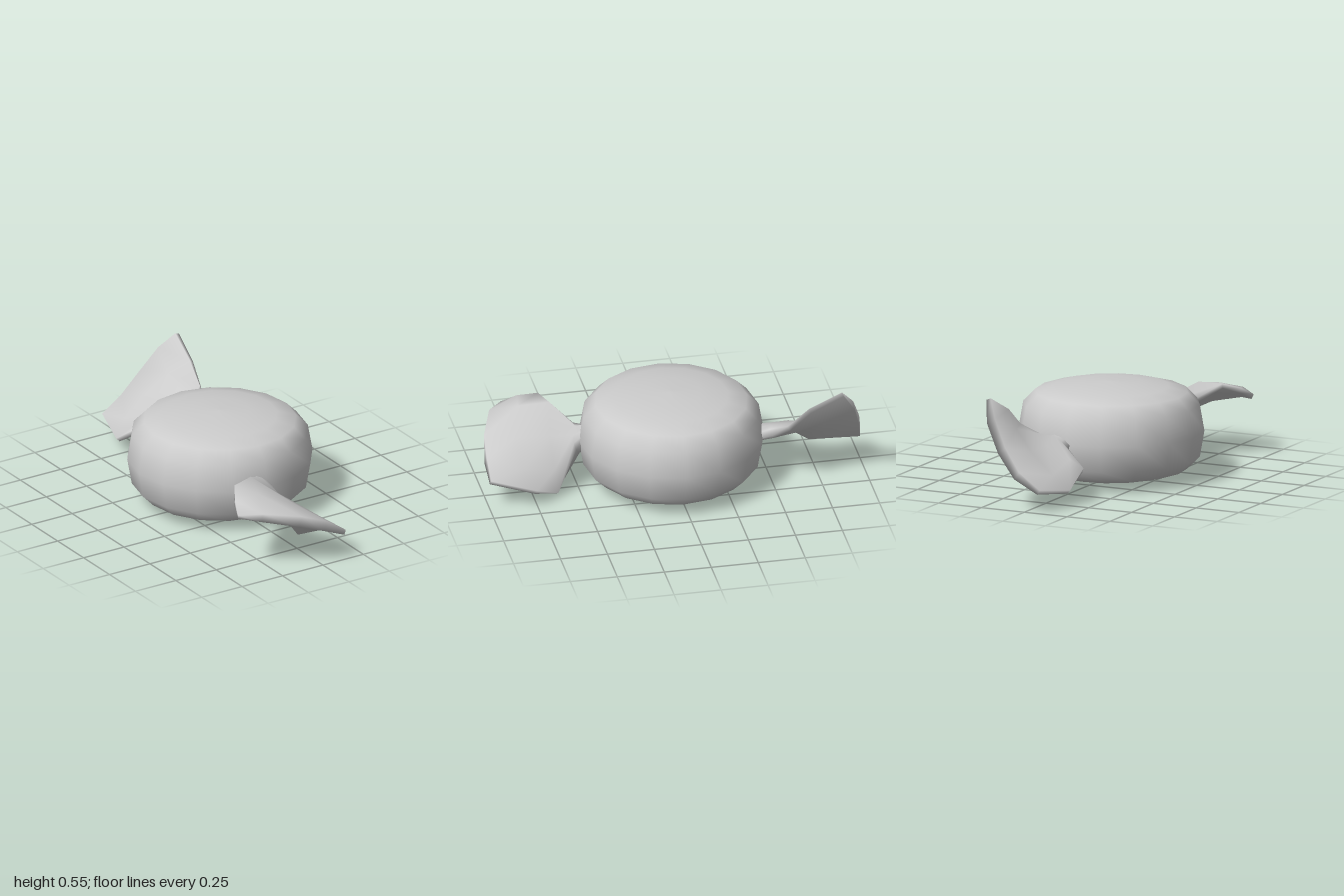
import * as THREE from 'three';

const material = new THREE.MeshStandardMaterial({ color: 0xcccccc, side: THREE.DoubleSide });

// Crumpled wrapper end: rows run from neck to hem, five points across each row;
// the sheet is thickened along its own normal and closed at the hem.
function wrapperEnd(name, rows, thickness) {
  const grid = rows.map(row => row.map(p => new THREE.Vector3(...p)));
  const cols = grid[0].length, ring = cols * 2, last = grid.length - 1;
  const taper = [0.45, 0.9, 1, 0.9, 0.45];
  const positions = [], index = [];
  grid.forEach((row, r) => {
    const offsets = row.map((p, c) => {
      const along = grid[Math.min(r + 1, last)][c].clone().sub(grid[Math.max(r - 1, 0)][c]);
      const across = row[Math.min(c + 1, cols - 1)].clone().sub(row[Math.max(c - 1, 0)]);
      return along.cross(across).normalize().multiplyScalar(thickness[r] * taper[c]);
    });
    for (let c = 0; c < cols; c++) positions.push(...row[c].clone().add(offsets[c]).toArray());
    for (let c = cols - 1; c >= 0; c--) positions.push(...row[c].clone().sub(offsets[c]).toArray());
  });
  const quad = (a, b, c, d) => index.push(a, b, c, a, c, d);
  for (let r = 0; r < last; r++) {
    for (let k = 0; k < ring; k++) {
      const n = (k + 1) % ring, a = r * ring, b = a + ring;
      quad(a + k, b + k, b + n, a + n);
    }
  }
  // Hem
  const h = last * ring;
  for (let c = 0; c < cols - 1; c++) quad(h + c, h + ring - 1 - c, h + ring - 2 - c, h + c + 1);

  const geometry = new THREE.BufferGeometry();
  geometry.setAttribute('position', new THREE.Float32BufferAttribute(positions, 3));
  geometry.setIndex(index);
  geometry.computeVertexNormals();
  const mesh = new THREE.Mesh(geometry, material);
  mesh.name = name;
  return mesh;
}

export function createModel() {
  const group = new THREE.Group();
  group.name = 'wrappedCandy';

  // Rounded disc body, symmetric about its middle height
  const mid = 0.258;
  const upper = [[0.487, 0], [0.463, 0.138], [0.4, 0.202], [0.3, 0.229], [0.16, 0.249], [0, 0.254]];
  const profile = [
    ...upper.slice(1).reverse().map(([x, y]) => new THREE.Vector2(x, mid - y)),
    ...upper.map(([x, y]) => new THREE.Vector2(x, mid + y)),
  ];
  const body = new THREE.Mesh(new THREE.LatheGeometry(profile, 16), material);
  body.name = 'candyBody';
  body.rotation.y = -0.04;
  body.position.z = 0.005;
  group.add(body);

  // Front wrapper end: high on the right, low on the left, flatter at the hem
  group.add(wrapperEnd('frontWrapper', [
    [[-0.12, 0.27, 0.44], [-0.09, 0.27, 0.44], [-0.06, 0.26, 0.44], [-0.03, 0.25, 0.44], [0, 0.25, 0.44]],
    [[-0.12, 0.3, 0.51], [-0.09, 0.29, 0.51], [-0.06, 0.26, 0.52], [-0.03, 0.23, 0.51], [0, 0.21, 0.5]],
    [[-0.32, 0.39, 0.65], [-0.21, 0.385, 0.61], [-0.07, 0.27, 0.64], [0.03, 0.13, 0.64], [0.09, 0.025, 0.63]],
    [[-0.38, 0.355, 0.74], [-0.25, 0.355, 0.76], [-0.07, 0.27, 0.82], [0.08, 0.17, 0.82], [0.175, 0.09, 0.76]],
    [[-0.41, 0.31, 0.82], [-0.31, 0.31, 0.9], [-0.12, 0.27, 0.975], [0.02, 0.22, 0.995], [0.14, 0.155, 0.995]],
  ], [0.06, 0.055, 0.03, 0.03, 0.03]));

  // Back wrapper end: a steeper fan rising to the left
  group.add(wrapperEnd('backWrapper', [
    [[0.01, 0.25, -0.42], [0.04, 0.255, -0.42], [0.075, 0.26, -0.42], [0.11, 0.265, -0.42], [0.14, 0.27, -0.42]],
    [[0, 0.24, -0.51], [0.04, 0.25, -0.51], [0.075, 0.26, -0.51], [0.11, 0.275, -0.51], [0.14, 0.285, -0.5]],
    [[-0.15, 0.17, -0.62], [-0.07, 0.2, -0.63], [0.06, 0.26, -0.65], [0.17, 0.32, -0.61], [0.25, 0.36, -0.57]],
    [[-0.14, 0.08, -0.76], [-0.05, 0.15, -0.8], [0.08, 0.26, -0.8], [0.19, 0.37, -0.76], [0.265, 0.46, -0.68]],
    [[-0.08, 0.115, -0.995], [0.05, 0.19, -0.99], [0.15, 0.31, -0.965], [0.235, 0.45, -0.92], [0.285, 0.55, -0.85]],
  ], [0.04, 0.04, 0.03, 0.03, 0.03]));

  return group;
}
